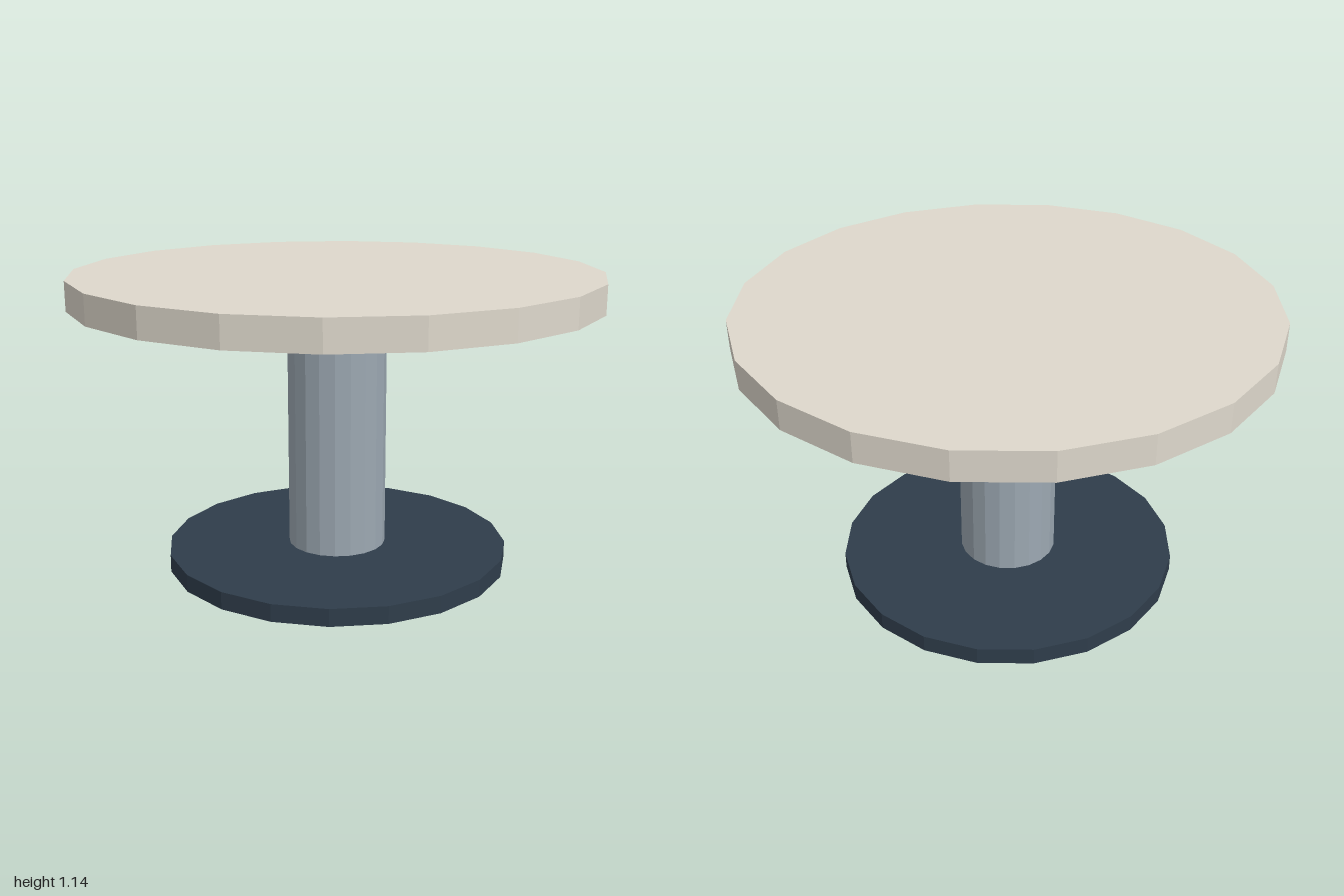
import * as THREE from 'three';

const SIDES = 20;

// Flat-shaded 20-sided disc or post standing between two heights
function addRound(group, name, radius, bottom, top, color) {
  const height = top - bottom;
  const mesh = new THREE.Mesh(
    new THREE.CylinderGeometry(radius, radius, height, SIDES),
    new THREE.MeshStandardMaterial({ color, flatShading: true })
  );
  mesh.name = name;
  mesh.position.y = bottom + height / 2;
  group.add(mesh);
}

export function createModel() {
  const table = new THREE.Group();
  table.name = 'pedestalTable';

  addRound(table, 'base', 0.665, 0, 0.067, 0x2f3d4b);
  // Column stops just short of the top, leaving a thin gap
  addRound(table, 'column', 0.19, 0.067, 1.0, 0x9ca8b2);
  addRound(table, 'tableTop', 1, 1.03, 1.14, 0xded8cc);

  return table;
}
